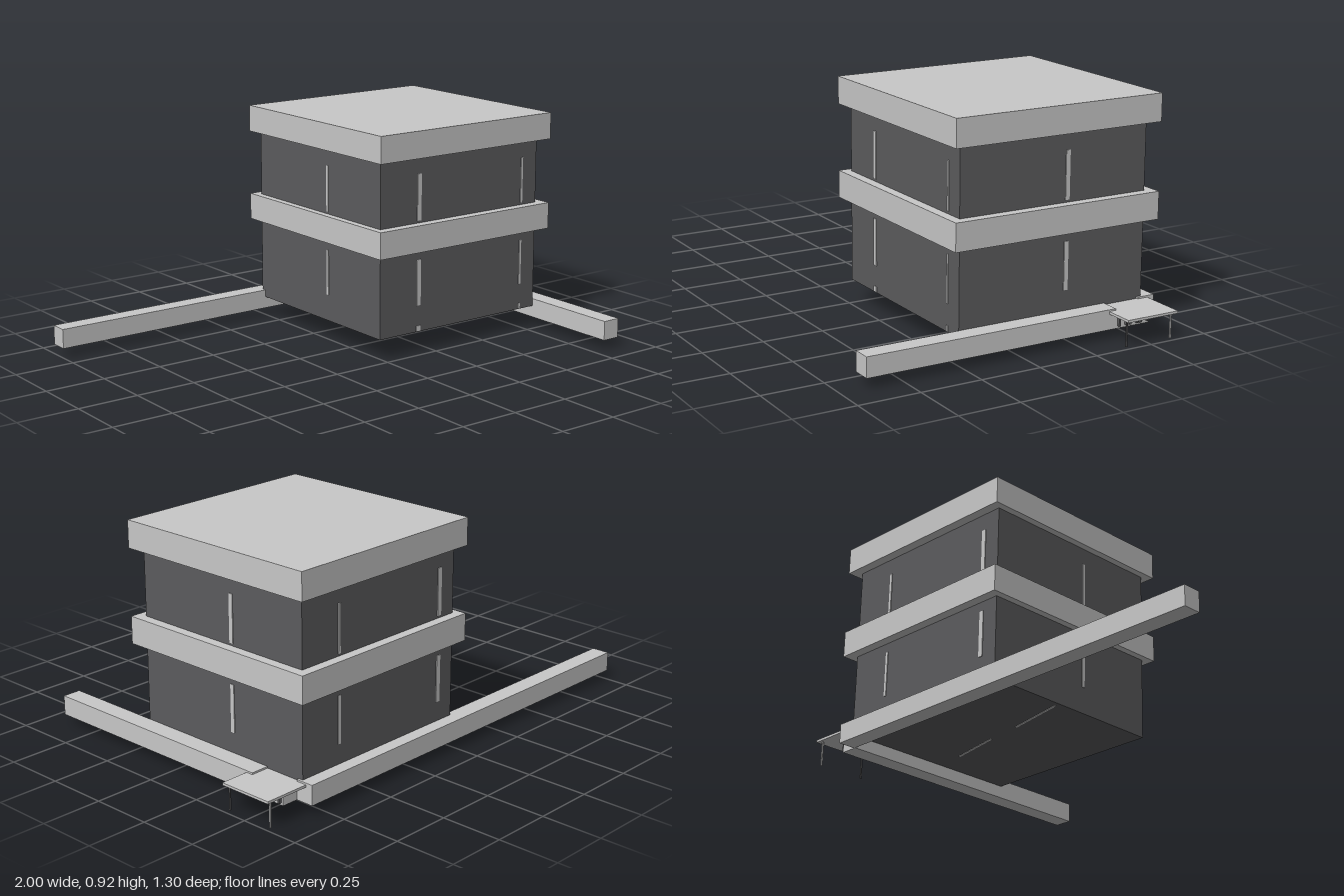
import * as THREE from 'three';

export function createModel() {
  const model = new THREE.Group();
  const light = new THREE.MeshStandardMaterial({ color: 0xc8c8c8 });
  light.name = 'pale concrete';
  const dark = new THREE.MeshStandardMaterial({ color: 0x5c5c5e });
  dark.name = 'dark wall';

  // Box given by its lower and upper corners
  function block(name, material, [x0, y0, z0], [x1, y1, z1], parent = model) {
    const mesh = new THREE.Mesh(new THREE.BoxGeometry(x1 - x0, y1 - y0, z1 - z0), material);
    mesh.position.set((x0 + x1) / 2, (y0 + y1) / 2, (z0 + z1) / 2);
    mesh.name = name;
    parent.add(mesh);
    return mesh;
  }

  // Two storeys, each capped by an overhanging slab
  block('lowerStorey', dark, [-0.02, 0.09, -0.595], [0.8, 0.43, 0.225]);
  block('upperStorey', dark, [-0.02, 0.54, -0.595], [0.8, 0.81, 0.225]);
  block('middleSlab', light, [-0.05, 0.43, -0.635], [0.84, 0.54, 0.265]);
  block('roofSlab', light, [-0.05, 0.81, -0.635], [0.84, 0.92, 0.265]);

  // Long boundary walls; the right one is lowered under the counter
  block('backWall', light, [-1, 0.04, -0.65], [0.81, 0.12, -0.575]);
  block('sideWall', light, [0.803, 0.04, -0.42], [0.88, 0.12, 0.65]);
  block('counterWall', light, [0.803, 0.04, -0.575], [0.88, 0.102, -0.42]);

  // Narrow window strips on every side
  const strips = new THREE.Group();
  strips.name = 'windowStrips';
  model.add(strips);
  const t = 0.003;
  for (const [y0, y1] of [[0.2, 0.39], [0.55, 0.74]]) {
    for (const [x, w] of [[0.175, 0.01], [0.72, 0.005]])
      block('frontStrip', light, [x - w, y0, 0.225 - t], [x + w, y1, 0.225 + t], strips);
    for (const [x, w] of [[0.61, 0.006], [0.06, 0.01]])
      block('backStrip', light, [x - w, y0, -0.595 - t], [x + w, y1, -0.595 + t], strips);
    block('rightStrip', light, [0.8 - t, y0, -0.25], [0.8 + t, y1, -0.232], strips);
    block('leftStrip', light, [-0.02 - t, y0, -0.127], [-0.02 + t, y1, -0.115], strips);
  }
  for (const [x, w] of [[0.175, 0.01], [0.72, 0.005]])
    block('footStrip', light, [x - w, 0.092, 0.225 - t], [x + w, 0.115, 0.225 + t], strips);
  for (const [x, z, length] of [[0.548, -0.162, 0.24], [0.135, -0.228, 0.27]]) {
    const strip = block('undersideStrip', light,
      [x - length / 2, 0.088, z - 0.004], [x + length / 2, 0.092, z + 0.004], strips);
    strip.rotation.y = -0.18;
  }

  // Counter top with two slim legs
  block('counterTop', light, [0.802, 0.103, -0.62], [1, 0.113, -0.39]);
  for (const [z, material] of [[-0.402, dark], [-0.606, light]])
    block('counterLeg', material, [0.972, 0, z - 0.003], [0.978, 0.103, z + 0.003]);

  // Three small stools in front of the counter wall
  for (const z of [-0.449, -0.498, -0.547]) {
    const stool = new THREE.Group();
    stool.name = 'stool';
    model.add(stool);
    block('stoolSeat', dark, [0.881, 0.08, z - 0.021], [0.893, 0.09, z + 0.021], stool);
    for (const s of [-1, 1])
      block('stoolLeg', dark, [0.881, 0.05, z + s * 0.017 - 0.004],
        [0.893, 0.08, z + s * 0.017 + 0.004], stool);
  }
  return model;
}
